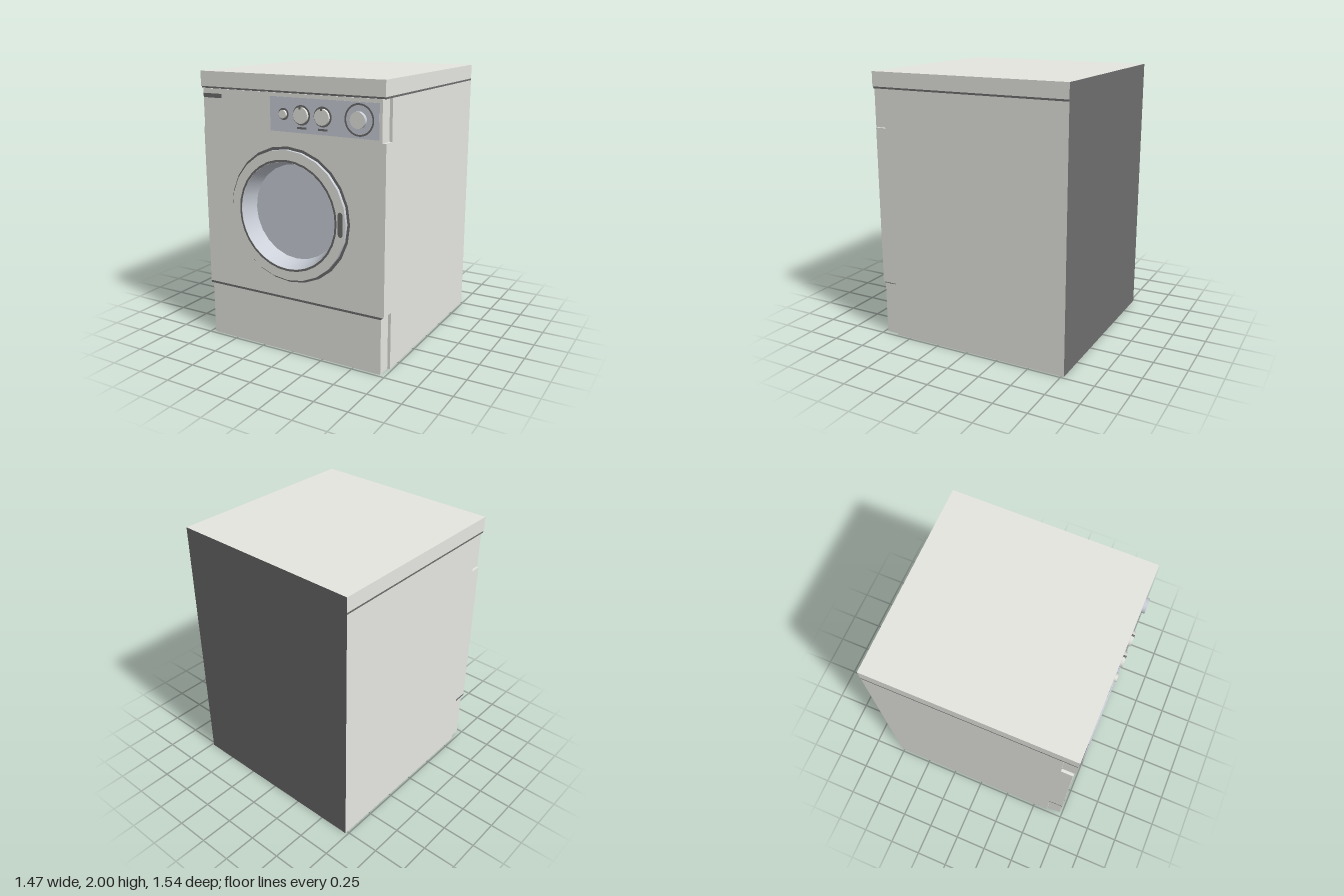
import * as THREE from 'three';

const mat = (name, color) => {
  const m = new THREE.MeshStandardMaterial({ color });
  m.name = name;
  return m;
};

export function createModel() {
  const enamel = mat('enamel', 0xe6e6e1);
  const blueGrey = mat('blue grey', 0xccd1da);
  const dark = mat('dark grey', 0x6e6e6e);
  // Enamel box with dark underside and back (+x, -x, +y, -y, +z, -z)
  const casing = [enamel, enamel, enamel, dark, enamel, dark];

  const model = new THREE.Group();
  model.name = 'washingMachine';

  const add = (name, geometry, material, parent = model) => {
    const mesh = new THREE.Mesh(geometry, material);
    mesh.name = name;
    parent.add(mesh);
    return mesh;
  };
  // Box given by its limits on each axis
  const box = (name, material, x0, x1, y0, y1, z0, z1, parent) =>
    add(name, new THREE.BoxGeometry(x1 - x0, y1 - y0, z1 - z0), material, parent)
      .position.set((x0 + x1) / 2, (y0 + y1) / 2, (z0 + z1) / 2);
  // Surface of revolution about the z axis from [radius, z] pairs
  const turned = (name, material, points, parent) =>
    add(name, new THREE.LatheGeometry(points.map(([r, z]) => new THREE.Vector2(r, z)), 24)
      .rotateX(Math.PI / 2), material, parent);
  const flatRing = (name, material, inner, outer, z, parent, segments = 24) => {
    add(name, new THREE.RingGeometry(inner, outer, segments), material, parent).position.z = z;
  };
  const disc = (name, material, r, z, parent) => {
    add(name, new THREE.CircleGeometry(r, 24), material, parent).position.z = z;
  };

  const W = 0.733, DOOR_X = -0.012, DOOR_Y = 1.03;

  // Cabinet, with the front stepped back behind fascia and plinth
  box('cabinet', casing, -W, W, 0, 1.88, -0.77, 0.62);
  box('cabinetUpperFront', enamel, -W, W, 1.6, 1.88, 0.62, 0.645);
  box('lidGap', dark, -W, W, 1.88, 1.893, -0.77, 0.738);
  box('lid', casing, -W, W, 1.893, 2, -0.77, 0.745);
  box('plinth', casing, -0.713, 0.712, 0, 0.404, 0.62, 0.728);
  box('plinthGap', dark, -W, 0.712, 0.404, 0.42, 0.62, 0.73);

  // Front panel with the round door opening
  const panel = new THREE.Shape([[-W, 0.42], [W, 0.42], [W, 1.6], [-W, 1.6]]
    .map(([x, y]) => new THREE.Vector2(x, y)));
  panel.holes.push(new THREE.Path().absarc(DOOR_X, DOOR_Y, 0.43, 0, Math.PI * 2, true));
  add('frontPanel', new THREE.ExtrudeGeometry(panel, { depth: 0.11, bevelEnabled: false }), enamel)
    .position.z = 0.62;

  // Door
  const door = new THREE.Group();
  door.name = 'door';
  door.position.set(DOOR_X, DOOR_Y, 0);
  model.add(door);
  flatRing('doorGap', dark, 0.46, 0.488, 0.733, door);
  turned('doorRim', blueGrey, [[0.468, 0.73], [0.468, 0.757]], door);
  flatRing('doorFace', enamel, 0.385, 0.468, 0.757, door);
  flatRing('doorInnerTrim', dark, 0.385, 0.4, 0.759, door, 32);
  turned('doorFunnel', blueGrey, [[0.386, 0.757], [0.345, 0.63]], door);
  disc('doorGlass', blueGrey, 0.347, 0.631, door);

  // Rounded handle slot
  const slot = new THREE.Shape();
  slot.absarc(0, 0.069, 0.018, 0, Math.PI, false);
  slot.absarc(0, -0.069, 0.018, Math.PI, Math.PI * 2, false);
  add('doorHandle', new THREE.ShapeGeometry(slot, 6), dark, door).position.set(0.427, 0, 0.76);

  // Control fascia
  box('fascia', enamel, -0.713, 0.712, 1.6, 1.88, 0.645, 0.745);
  box('trimBar', dark, -0.711, -0.551, 1.815, 1.845, 0.743, 0.747);
  box('controlPlate', blueGrey, -0.138, 0.692, 1.62, 1.855, 0.743, 0.7465);

  // A knob standing inside a dark flat collar
  const knob = (name, x, radius, collarIn, collarOut, height, sideMaterial) => {
    const group = new THREE.Group();
    group.name = name;
    group.position.set(x, 1.74, 0);
    model.add(group);
    flatRing('collar', dark, collarIn, collarOut, 0.748, group, 32);
    turned('knobSide', sideMaterial, [[radius, 0.745], [radius, height]], group);
    disc('knobFace', enamel, radius, height, group);
    return group;
  };
  knob('smallButton', -0.028, 0.028, 0.025, 0.041, 0.765, enamel);
  for (const x of [0.114, 0.278]) {
    const dial = knob('selectorKnob', x, 0.055, 0.05, 0.068, 0.766, enamel);
    box('pointer', dark, -0.007, 0.007, 0.042, 0.057, 0.746, 0.768, dial);
    box('knobMark', dark, x - 0.037, x + 0.037, 1.647, 1.661, 0.745, 0.748);
  }
  knob('programmeDial', 0.548, 0.055, 0.095, 0.107, 0.773, blueGrey);

  return model;
}
